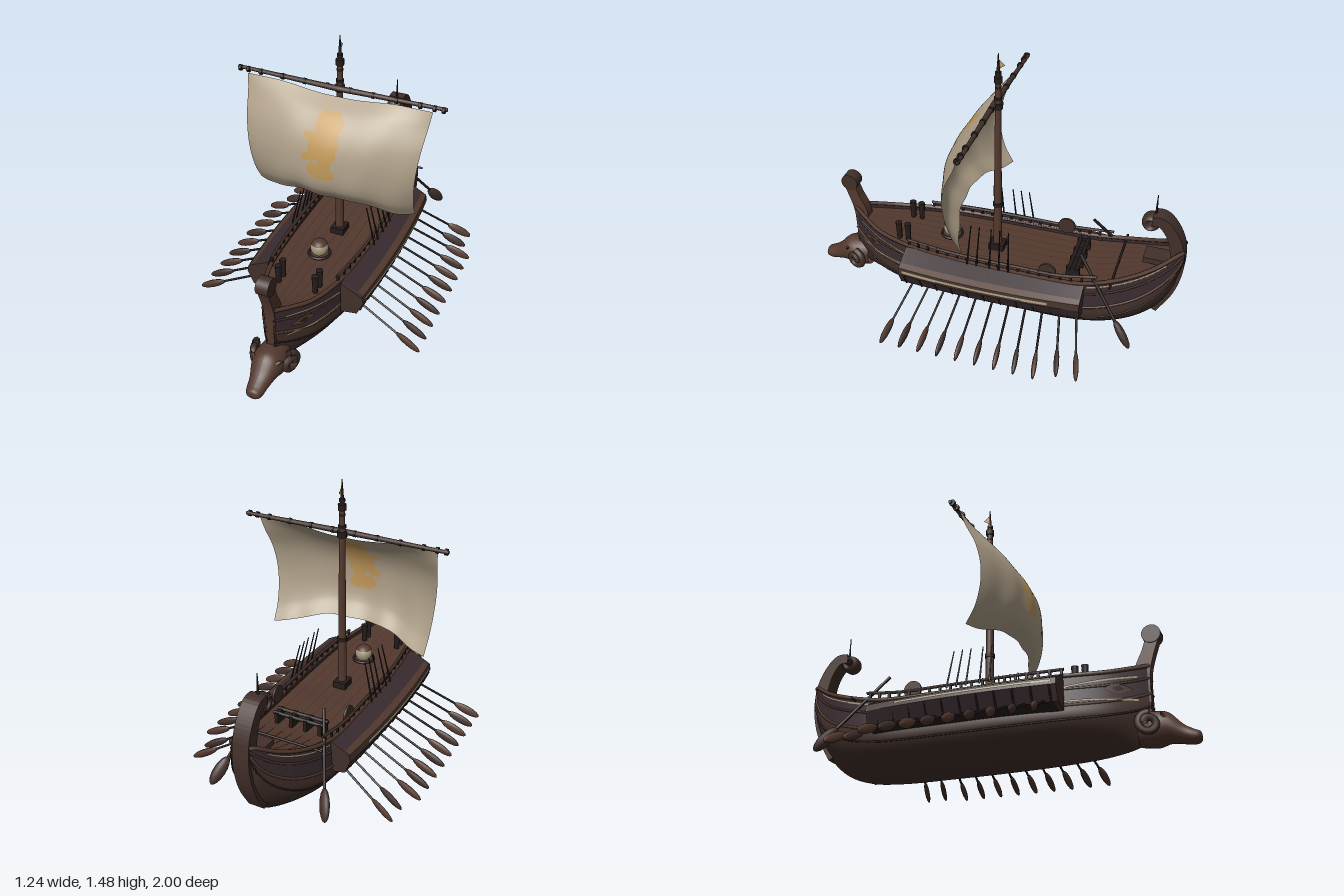
import * as THREE from 'three';

const mat = (name, color) => new THREE.MeshStandardMaterial({ name, color, side: THREE.DoubleSide });
const WOOD = mat('warm wood', 0x53392e), HULL = mat('hull wood', 0x42302a), PLUM = mat('plum paint', 0x3a2c30);
const DARK = mat('tarred wood', 0x261d1c), CREAM = mat('cream paint', 0xa39478);
const CLOTH = mat('sail cloth', 0xb0a18a), OCHRE = mat('ochre dye', 0xc0985a);
const V = (x, y, z) => new THREE.Vector3(x, y, z);
const { lerp, smoothstep } = THREE.MathUtils;

export function createModel() {
  const root = new THREE.Group();
  root.name = 'galley';
  const add = (name, geo, m, x = 0, y = 0, z = 0) => {
    const o = new THREE.Mesh(geo, m);
    o.name = name;
    o.position.set(x, y, z);
    root.add(o);
    return o;
  };
  const box = (name, w, h, d, m, x, y, z) => add(name, new THREE.BoxGeometry(w, h, d), m, x, y, z);
  // Bends a grid by a rule: u and v run 0..1
  const surface = (fn, nu, nv) => {
    const g = new THREE.PlaneGeometry(1, 1, nu, nv), p = g.attributes.position;
    for (let i = 0; i < p.count; i++) p.setXYZ(i, ...fn(p.getX(i) + 0.5, 0.5 - p.getY(i)));
    g.computeVertexNormals();
    return g;
  };
  const up = V(0, 1, 0);
  const rod = (name, a, b, r0, r1, m, sides = 8) => {
    const d = b.clone().sub(a), mid = a.clone().add(b).multiplyScalar(0.5);
    const o = add(name, new THREE.CylinderGeometry(r1, r0, d.length(), sides), m, mid.x, mid.y, mid.z);
    o.quaternion.setFromUnitVectors(up, d.normalize());
    return o;
  };
  const drum = (name, r, w, m, x, y, z) => {
    add(name, new THREE.CylinderGeometry(r, r, w, 24), m, x, y, z).rotation.z = Math.PI / 2;
  };

  // Hull stations, stern to bow: z, keel height, sheer height, half beam
  const stations = [
    [-0.99, 0.47, 0.565, 0.045], [-0.975, 0.36, 0.565, 0.062], [-0.93, 0.235, 0.535, 0.09], [-0.87, 0.15, 0.497, 0.123],
    [-0.78, 0.075, 0.455, 0.163], [-0.65, 0.025, 0.41, 0.2], [-0.5, 0.006, 0.378, 0.22], [-0.2, 0, 0.37, 0.225],
    [0.15, 0, 0.37, 0.22], [0.4, 0.006, 0.375, 0.197], [0.6, 0.022, 0.387, 0.138], [0.72, 0.05, 0.415, 0.068],
    [0.79, 0.09, 0.435, 0.02]];
  const hull = new THREE.CubicInterpolant(stations.map(s => s[0]), stations.flatMap(s => s.slice(1)), 3);
  const at = z => Array.from(hull.evaluate(z));
  const hullPoint = (z, f, side, out = 0) => {
    const [k, s, b] = at(z);
    const x = b * Math.sin(Math.PI / 2 * Math.min(1, f / 0.5)) ** 0.85 * (1 - 0.06 * Math.max(0, f - 0.5) * 2);
    return [side * (x + out), lerp(k, s, f), z];
  };
  const heightToF = (z, y) => { const [k, s] = at(z); return (y - k) / (s - k); };

  for (const side of [-1, 1]) {
    const band = (name, f0, f1, z0, z1, out, m) => add(name, surface((u, v) =>
      hullPoint(lerp(z0, z1, u), lerp(f0, f1, v), side, out), 70, 14), m);
    band('lowerHull', 0, 0.62, -0.99, 0.79, 0, HULL);
    band('upperHull', 0.62, 1, -0.99, 0.79, 0, PLUM);
    band('sternTrim', 0.92, 0.95, -0.92, -0.55, 0.006, CREAM);
    // Painted lines that keep their own height
    const line = (name, z0, y0, z1, y1, h, m) => add(name, surface((u, v) => {
      const z = lerp(z0, z1, u), y = lerp(y0, y1, u) + (v - 0.5) * h;
      return hullPoint(z, heightToF(z, y), side, 0.007);
    }, 24, 1), m);
    line('bowStripe', 0.41, 0.315, 0.74, 0.372, 0.011, CREAM);
    line('lowerStripe', 0.25, 0.24, 0.74, 0.256, 0.011, CREAM);
    // Almond eye on the bow
    const eye = (name, w, h, out, m) => add(name, surface((u, v) => {
      const z = 0.655 + (u - 0.5) * w, y = 0.305 + (v - 0.5) * h * Math.sin(Math.PI * u);
      return hullPoint(z, heightToF(z, y), side, out);
    }, 14, 4), m);
    eye('eye', 0.13, 0.045, 0.007, WOOD);
    eye('pupil', 0.05, 0.026, 0.01, DARK);
    // Wales and gunwale
    for (const [f, r, m] of [[1, 0.011, WOOD], [0.82, 0.006, HULL], [0.6, 0.007, WOOD], [0.42, 0.005, DARK]]) {
      const pts = stations.map(s => V(...hullPoint(s[0], f, side)));
      add('wale', new THREE.TubeGeometry(new THREE.CatmullRomCurve3(pts), 70, r, 6), m);
    }

    // Rowing gallery: a section lofted along the side
    const reach = z => 1 - 0.2 * ((z + 0.02) / 0.5) ** 2;
    const sec = [[0.2, 0.378], [0.3, 0.337], [0.332, 0.322], [0.34, 0.288], [0.302, 0.215], [0.2, 0.2]];
    const gx = (x, z) => side * (0.2 + (x - 0.2) * reach(z));
    [PLUM, WOOD, HULL, PLUM, DARK].forEach((m, j) => add('gallerySide', surface((u, v) => {
      const z = lerp(-0.53, 0.41, u);
      return [gx(lerp(sec[j][0], sec[j + 1][0], v), z), lerp(sec[j][1], sec[j + 1][1], v), z];
    }, 24, 1), m));
    add('galleryStripe', surface((u, v) => {
      const z = lerp(-0.38, 0.4, u);
      return [gx(0.344 - 0.003 * v, z), 0.3 + v * 0.013, z];
    }, 24, 1), CREAM);
    for (const z of [-0.54, 0.4]) {
      const s = new THREE.Shape(sec.map(([x, y]) => new THREE.Vector2(gx(x, z), y)));
      add('galleryEnd', new THREE.ExtrudeGeometry(s, { depth: 0.022, bevelEnabled: false }), HULL, 0, 0, z);
    }

    // Oars, ribs and ports
    for (let i = 0; i < 11; i++) {
      const z = 0.35 - i * 0.087, tz = 0.41 - i * 0.101, tx = i > 8 ? 0.56 : 0.625;
      const a = V(side * 0.26, 0.235, z), b = V(side * tx, 0.07, tz);
      const c = b.clone().lerp(a, 0.2);
      rod('oarShaft', a, c, 0.006, 0.006, DARK, 6);
      const blade = add('oarBlade', new THREE.SphereGeometry(1, 10, 8), i % 2 ? HULL : WOOD, c.x, c.y, c.z);
      blade.scale.set(0.024, 0.075, 0.013);
      blade.quaternion.setFromUnitVectors(up, b.clone().sub(a).normalize());
      rod('galleryRib', V(gx(0.302, z), 0.215, z + 0.04), V(gx(0.338, z), 0.288, z + 0.04), 0.005, 0.005, DARK, 5);
    }
    // Steering oar
    const a = V(side * 0.15, 0.52, -0.5), b = V(side * 0.31, 0.13, -0.8);
    rod('steeringShaft', a, b, 0.008, 0.008, DARK);
    const c = b.clone().lerp(a, 0.13);
    const blade = add('steeringBlade', new THREE.SphereGeometry(1, 10, 8), HULL, c.x, c.y, c.z);
    blade.scale.set(0.022, 0.08, 0.032);
    blade.quaternion.setFromUnitVectors(up, b.clone().sub(a).normalize());

    // Handrail and posts
    const railX = z => side * (at(z)[2] * 0.93);
    const railPts = [0.42, 0.2, 0, -0.2, -0.4, -0.6].map(z => V(railX(z), at(z)[1] + 0.035, z));
    add('handrail', new THREE.TubeGeometry(new THREE.CatmullRomCurve3(railPts), 30, 0.008, 6), HULL);
    for (let z = 0.41; z > -0.6; z -= 0.055) box('railPost', 0.01, 0.05, 0.012, DARK, railX(z), at(z)[1] + 0.015, z);
    // Shrouds
    for (const z of [0.07, 0.02, -0.05, -0.1, -0.15])
      rod('shroud', V(side * 0.235, 0.38, z), V(side * 0.185, 0.59, z * 0.9), 0.005, 0.003, DARK, 5);
    drum('railShield', 0.046, 0.012, HULL, side * 0.2, 0.41, -0.345);
    // Curled horn beside the ram, splayed towards the hull
    const horn = new THREE.CatmullRomCurve3(Array.from({ length: 14 }, (_, i) => {
      const t = i * 0.62, r = 0.052 - i * 0.0027, z = r * Math.sin(t);
      return V(side * (0.09 + i * 0.001 + z * 0.35), 0.13 + r * Math.cos(t), 0.78 - z);
    }));
    add('horn', new THREE.TubeGeometry(horn, 40, 0.018, 8), HULL);
    const ear = add('ear', new THREE.ConeGeometry(0.016, 0.05, 8), WOOD, side * 0.07, 0.17, 0.84);
    ear.rotation.set(-0.6, 0, -side * 0.9);
  }

  // Deck with plank seams
  const deckPoint = (u, z, lift) => {
    const [, s, b] = at(z);
    return [(u - 0.5) * 1.88 * b, s - 0.03 + lift, z];
  };
  add('deck', surface((u, v) => deckPoint(u, lerp(-0.97, 0.77, v), 0), 8, 60), WOOD);
  for (let i = 1; i < 8; i++) add('plankSeam', surface((u, v) =>
    deckPoint(i / 8 + (u - 0.5) * 0.01, lerp(-0.9, 0.7, v), 0.003), 1, 40), HULL);

  // Deck fittings
  box('sternSeat', 0.1, 0.03, 0.13, HULL, 0, 0.482, -0.86);
  rod('steeringBeam', V(-0.23, 0.405, -0.67), V(0.23, 0.405, -0.67), 0.006, 0.006, DARK);
  for (const z of [-0.44, -0.48]) rod('rackBar', V(-0.14, 0.4, z), V(0.14, 0.4, z), 0.01, 0.01, DARK);
  for (const x of [-0.12, -0.04, 0.04, 0.12]) box('rackPost', 0.018, 0.07, 0.07, DARK, x, 0.37, -0.46);
  add('pot', new THREE.SphereGeometry(0.046, 20, 14), CREAM, 0, 0.405, 0.235);
  add('potLid', new THREE.SphereGeometry(0.049, 20, 6, 0, Math.PI * 2, 0, 1), WOOD, 0, 0.405, 0.235);
  add('potStand', new THREE.TorusGeometry(0.054, 0.008, 8, 24), DARK, 0, 0.372, 0.235).rotation.x = Math.PI / 2;
  for (const x of [-0.1, 0.1]) for (const z of [0.45, 0.5])
    add('bollard', new THREE.CylinderGeometry(0.018, 0.013, 0.1, 10), DARK, x, 0.4, z);
  box('mastStep', 0.07, 0.04, 0.08, DARK, 0, 0.355, -0.02);

  // Curved posts: a tapering outline in the side plane, given thickness across
  const post = (name, pts, widths, depth, m) => {
    const c = new THREE.CatmullRomCurve3(pts.map(([z, y]) => V(z, y, 0)));
    const n = 30, left = [], right = [];
    for (let i = 0; i <= n; i++) {
      const p = c.getPoint(i / n), t = c.getTangent(i / n), k = i / n * (widths.length - 1), j = Math.min(Math.floor(k), widths.length - 2);
      const w = lerp(widths[j], widths[j + 1], k - j) / 2;
      left.push(new THREE.Vector2(p.x - t.y * w, p.y + t.x * w));
      right.unshift(new THREE.Vector2(p.x + t.y * w, p.y - t.x * w));
    }
    const g = new THREE.ExtrudeGeometry(new THREE.Shape([...left, ...right]), { depth, bevelEnabled: false });
    add(name, g.translate(0, 0, -depth / 2).rotateY(-Math.PI / 2), m);
  };
  post('sternPost', [[-0.87, 0.17], [-0.94, 0.31], [-0.963, 0.45], [-0.955, 0.57], [-0.92, 0.66], [-0.87, 0.715], [-0.82, 0.718]],
    [0.04, 0.05, 0.07, 0.07, 0.06, 0.055, 0.05], 0.085, HULL);
  add('sternCurl', new THREE.TorusGeometry(0.03, 0.017, 10, 24).scale(1, 1, 2.4).rotateY(Math.PI / 2), HULL, 0, 0.692, -0.812);
  rod('sternSpike', V(0, 0.72, -0.83), V(0, 0.85, -0.83), 0.007, 0.002, DARK, 6);
  post('bowPost', [[0.745, 0.14], [0.75, 0.3], [0.757, 0.42], [0.785, 0.5], [0.81, 0.57]], [0.07, 0.075, 0.075, 0.06, 0.06], 0.055, WOOD);
  drum('bowCurl', 0.046, 0.065, HULL, 0, 0.593, 0.808);

  // Ram shaped as a beast's head: z, centre height, half width, half height
  const rings = [[0.72, 0.13, 0.07, 0.08], [0.8, 0.125, 0.085, 0.085], [0.86, 0.125, 0.072, 0.072], [0.92, 0.09, 0.052, 0.046],
    [0.965, 0.072, 0.044, 0.035], [0.992, 0.07, 0.032, 0.024], [1, 0.07, 0.001, 0.001]];
  const ram = new THREE.CubicInterpolant(rings.map((_, i) => i), rings.flat(), 4);
  add('ram', surface((u, v) => {
    const [z, y, rx, ry] = ram.evaluate(v * (rings.length - 1)), a = u * Math.PI * 2;
    return [rx * Math.sin(a), y + ry * Math.cos(a), z];
  }, 24, 30), WOOD);

  // Mast, yard and pennant
  rod('mast', V(0, 0.3, -0.02), V(0, 1.36, -0.02), 0.024, 0.014, WOOD, 14);
  rod('mastTip', V(0, 1.36, -0.02), V(0, 1.48, -0.02), 0.011, 0.002, DARK);
  for (const [y, r, h] of [[0.62, 0.026, 0.02], [1.2, 0.025, 0.03], [1.24, 0.02, 0.015], [1.3, 0.016, 0.012], [1.34, 0.021, 0.03], [1.375, 0.015, 0.015]])
    add('mastBand', new THREE.CylinderGeometry(r, r, h, 12), DARK, 0, y, -0.02);
  add('pennant', new THREE.ShapeGeometry(new THREE.Shape([[0, 1.395], [0.035, 1.42], [0, 1.45]].map(p => new THREE.Vector2(...p)))),
    OCHRE, 0, 0, -0.02).rotation.y = Math.PI / 2;
  for (const s of [-1, 1]) {
    rod('yard', V(0, 1.205, 0), V(s * 0.55, 1.208, -0.01), 0.015, 0.009, HULL, 10);
    for (const x of [0.06, 0.18, 0.3, 0.42, 0.49, 0.535]) {
      add('yardBinding', new THREE.CylinderGeometry(0.016, 0.016, 0.014, 10), DARK, s * x, 1.206, -0.003).rotation.z = Math.PI / 2;
    }
  }

  // Billowing sail: height fraction against bulge at centre and at edges
  const belly = new THREE.CubicInterpolant([0, 0.12, 0.33, 0.58, 0.85, 1],
    [0.012, 0.012, 0.1, 0.035, 0.18, 0.09, 0.21, 0.11, 0.195, 0.075, 0.14, 0.025], 2);
  const sail = surface((u, v) => {
    const s = u * 2 - 1, [mid, edge] = belly.evaluate(v);
    const top = 1.168 + 0.025 * smoothstep(Math.abs(s), 0.1, 0.7), foot = 0.66 - 0.06 * smoothstep(Math.abs(s), 0.3, 0.93);
    const ripple = 0.004 * Math.sin(s * 14 + v * 3) * v;
    return [s * (0.488 - 0.085 * v + 0.028 * v * v), lerp(top, foot, v), lerp(edge, mid, 1 - s * s) + ripple];
  }, 130, 80);
  // Dyed patch: faces inside any of these ovals (x, y, half width, half height)
  const ovals = [[0.01, 1.075, 0.07, 0.05], [0.03, 1.0, 0.045, 0.1], [-0.02, 0.965, 0.06, 0.06], [-0.07, 1.018, 0.04, 0.018],
    [-0.075, 0.915, 0.035, 0.022], [0.015, 0.9, 0.035, 0.06], [-0.045, 0.855, 0.035, 0.032], [0.005, 0.838, 0.062, 0.033]];
  const p = sail.attributes.position, idx = sail.index.array, plain = [], dyed = [];
  for (let i = 0; i < idx.length; i += 6) {
    const x = (p.getX(idx[i]) + p.getX(idx[i + 2])) / 2, y = (p.getY(idx[i]) + p.getY(idx[i + 1])) / 2;
    const hit = ovals.some(([cx, cy, w, h]) => Math.abs((x - cx) / w) ** 2.6 + Math.abs((y - cy) / h) ** 2.6 < 1);
    (hit ? dyed : plain).push(...idx.subarray(i, i + 6));
  }
  sail.setIndex([...plain, ...dyed]);
  sail.addGroup(0, plain.length, 0);
  sail.addGroup(plain.length, dyed.length, 1);
  add('sail', sail, [CLOTH, OCHRE]);
  return root;
}
